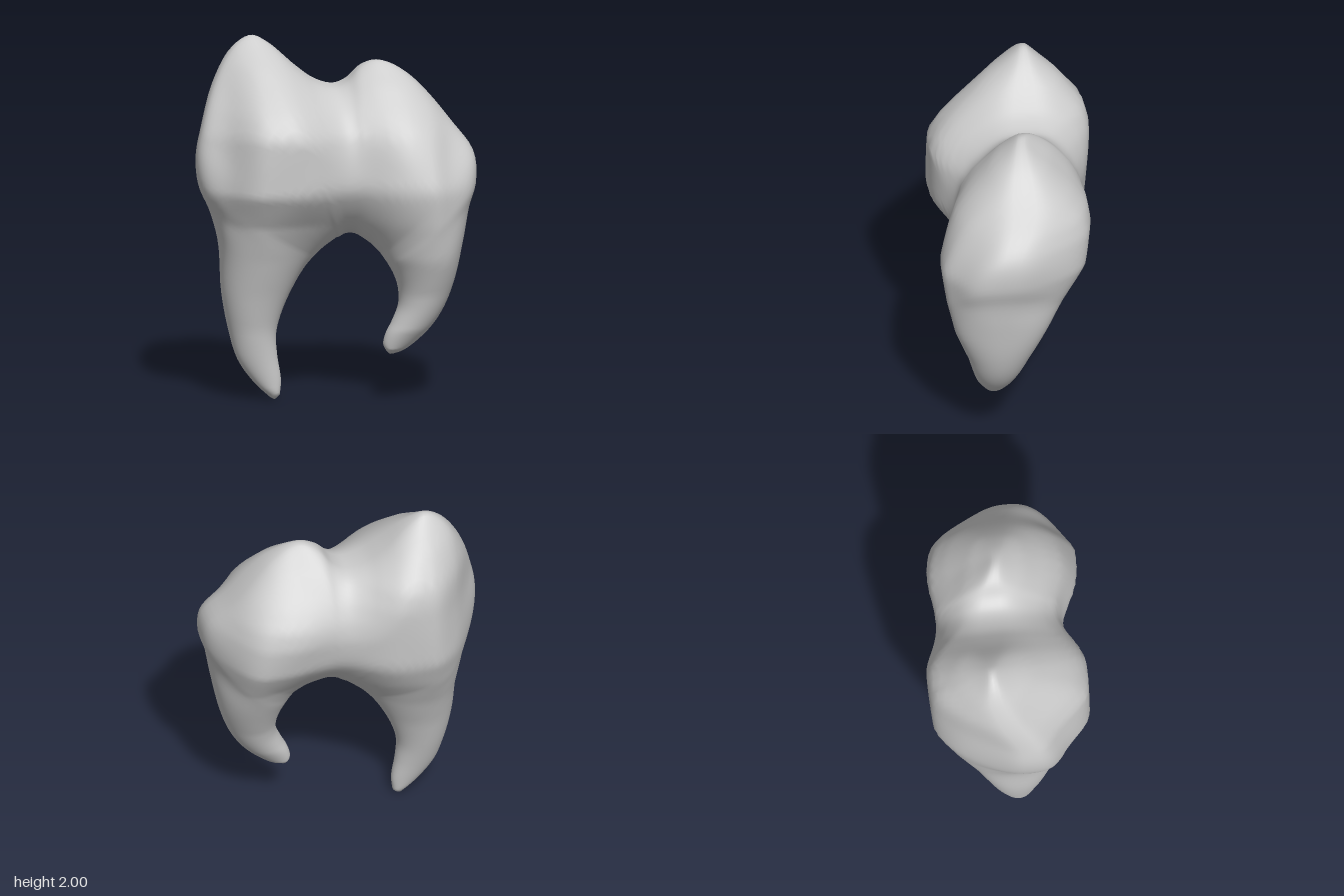
import * as THREE from 'three';

// Paired outline points along the arch, root tip to root tip:
// inner edge x, y, then outer edge x, y
const SECTIONS = [
  [-0.307, 0.03, -0.36, 0.015], [-0.30, 0.11, -0.45, 0.10], [-0.32, 0.25, -0.54, 0.23],
  [-0.325, 0.37, -0.59, 0.40], [-0.29, 0.50, -0.625, 0.60], [-0.23, 0.63, -0.64, 0.87],
  [-0.17, 0.73, -0.69, 1.05], [-0.12, 0.79, -0.755, 1.20], [-0.08, 0.83, -0.77, 1.36],
  [-0.05, 0.855, -0.74, 1.52], [-0.03, 0.87, -0.66, 1.76], [-0.01, 0.885, -0.55, 1.94],
  [0.005, 0.895, -0.45, 2.00], [0.02, 0.90, -0.36, 1.96], [0.035, 0.91, -0.20, 1.82],
  [0.05, 0.918, -0.10, 1.75], [0.08, 0.922, 0.00, 1.725], [0.10, 0.92, 0.07, 1.755],
  [0.12, 0.912, 0.14, 1.83], [0.14, 0.90, 0.22, 1.865], [0.155, 0.89, 0.30, 1.85],
  [0.17, 0.88, 0.40, 1.79], [0.19, 0.865, 0.50, 1.695], [0.21, 0.845, 0.64, 1.525],
  [0.235, 0.82, 0.75, 1.375], [0.26, 0.785, 0.76, 1.22], [0.28, 0.755, 0.72, 1.08],
  [0.31, 0.70, 0.69, 0.90], [0.335, 0.62, 0.645, 0.68], [0.335, 0.53, 0.59, 0.53],
  [0.30, 0.44, 0.52, 0.42], [0.265, 0.37, 0.43, 0.33], [0.253, 0.31, 0.36, 0.28],
  [0.27, 0.275, 0.31, 0.262],
];

// Depth of each lobe by height: y, middle z, half depth
const RIGHT_LOBE = [
  [0, 0.055, 0.02], [0.05, 0.055, 0.045], [0.2, 0.045, 0.08], [0.4, 0.03, 0.13],
  [0.6, 0.025, 0.187], [0.8, 0.015, 0.257], [1.0, -0.002, 0.342], [1.18, 0.01, 0.43],
  [1.5, 0.0, 0.445], [1.6, -0.03, 0.425], [1.7, -0.065, 0.38], [1.85, -0.085, 0.26],
  [2.0, -0.1, 0.07],
];
const LEFT_LOBE = [
  [0.26, 0.15, 0.02], [0.29, 0.15, 0.055], [0.4, 0.148, 0.105], [0.6, 0.135, 0.168],
  [0.8, 0.125, 0.255], [1.0, 0.1, 0.325], [1.2, 0.055, 0.4], [1.4, 0.01, 0.405],
  [1.5, 0.0, 0.39], [1.6, 0.0, 0.335], [1.75, 0.0, 0.22], [1.87, 0.0, 0.07],
];

const { lerp, clamp, smoothstep } = THREE.MathUtils;

function lookup(table, y) {
  let i = 0;
  while (i < table.length - 2 && y > table[i + 1][0]) i++;
  const [a, b] = [table[i], table[i + 1]];
  const k = clamp((y - a[0]) / (b[0] - a[0]), 0, 1);
  return [lerp(a[1], b[1], k), lerp(a[2], b[2], k)];
}

// Middle z and half depth at a point of the front outline,
// narrowed at the waist and rounded off towards both ends of the crown
function depthAt(x, y) {
  const r = lookup(RIGHT_LOBE, y);
  const l = lookup(LEFT_LOBE, y);
  const k = smoothstep(x, -0.25, 0.3);
  const waist = Math.exp(-(((x - 0.07) / 0.2) ** 2));
  const crown = smoothstep(y, 0.75, 1.1);
  const shift = 0.08 * smoothstep(Math.abs(x), 0.57, 0.78) * crown - 0.025 * waist;
  const end = x < 0 ? 0.42 * smoothstep(-x, 0.42, 0.78) : 0.35 * smoothstep(x, 0.5, 0.78);
  const taper = end * crown * (1 + 0.3 * smoothstep(y, 1.2, 1.6));
  return [lerp(r[0], l[0], k) + shift, lerp(r[1], l[1], k) * (1 - 0.18 * waist) * (1 - taper)];
}

function toothGeometry(steps = 150, sides = 64) {
  const curve = (o) =>
    new THREE.CatmullRomCurve3(SECTIONS.map((s) => new THREE.Vector3(s[o], s[o + 1], 0)));
  const inner = curve(0);
  const outer = curve(2);
  const positions = [];
  const indices = [];

  // Rings run from the inner edge over the front to the outer edge and round the back
  for (let i = 0; i <= steps; i++) {
    const a = inner.getPoint(i / steps);
    const b = outer.getPoint(i / steps);
    const length = a.distanceTo(b);
    const upright = Math.abs(b.y - a.y) / length;
    const fillet = Math.min(length / 2, 0.38);
    for (let j = 0; j < sides; j++) {
      const angle = (j / sides) * Math.PI * 2;
      const s = (1 - Math.cos(angle)) / 2;
      const p = a.clone().lerp(b, s);
      const [mid, half] = depthAt(p.x, p.y);
      // Even rounding along the arch, firmer shoulders towards the cusps
      const q = Math.min(1, (s * length) / fillet);
      const bulge =
        s < 0.5
          ? (1 - (1 - q) ** 2) ** 0.45
          : Math.abs(Math.sin(angle)) ** lerp(1, 0.65, upright);
      positions.push(p.x, p.y, mid + half * bulge * (j < sides / 2 ? 1 : -1));
    }
  }
  for (let i = 0; i < steps; i++) {
    for (let j = 0; j < sides; j++) {
      const a = i * sides + j;
      const c = i * sides + ((j + 1) % sides);
      indices.push(a, a + sides, c, c, a + sides, c + sides);
    }
  }

  // Rounded root tips
  const tipA = positions.length / 3;
  positions.push(-0.335, 0.002, 0.055, 0.288, 0.26, 0.15);
  for (let j = 0; j < sides; j++) {
    const k = (j + 1) % sides;
    indices.push(tipA, j, k);
    indices.push(tipA + 1, steps * sides + k, steps * sides + j);
  }

  const geometry = new THREE.BufferGeometry();
  geometry.setAttribute('position', new THREE.Float32BufferAttribute(positions, 3));
  geometry.setIndex(indices);
  geometry.computeVertexNormals();
  return geometry;
}

export function createModel() {
  const group = new THREE.Group();
  group.name = 'tooth';
  // Crown and both roots form one continuous skin
  const tooth = new THREE.Mesh(
    toothGeometry(),
    new THREE.MeshStandardMaterial({ color: 0xcccccc })
  );
  tooth.name = 'crownAndRoots';
  group.add(tooth);
  return group;
}
